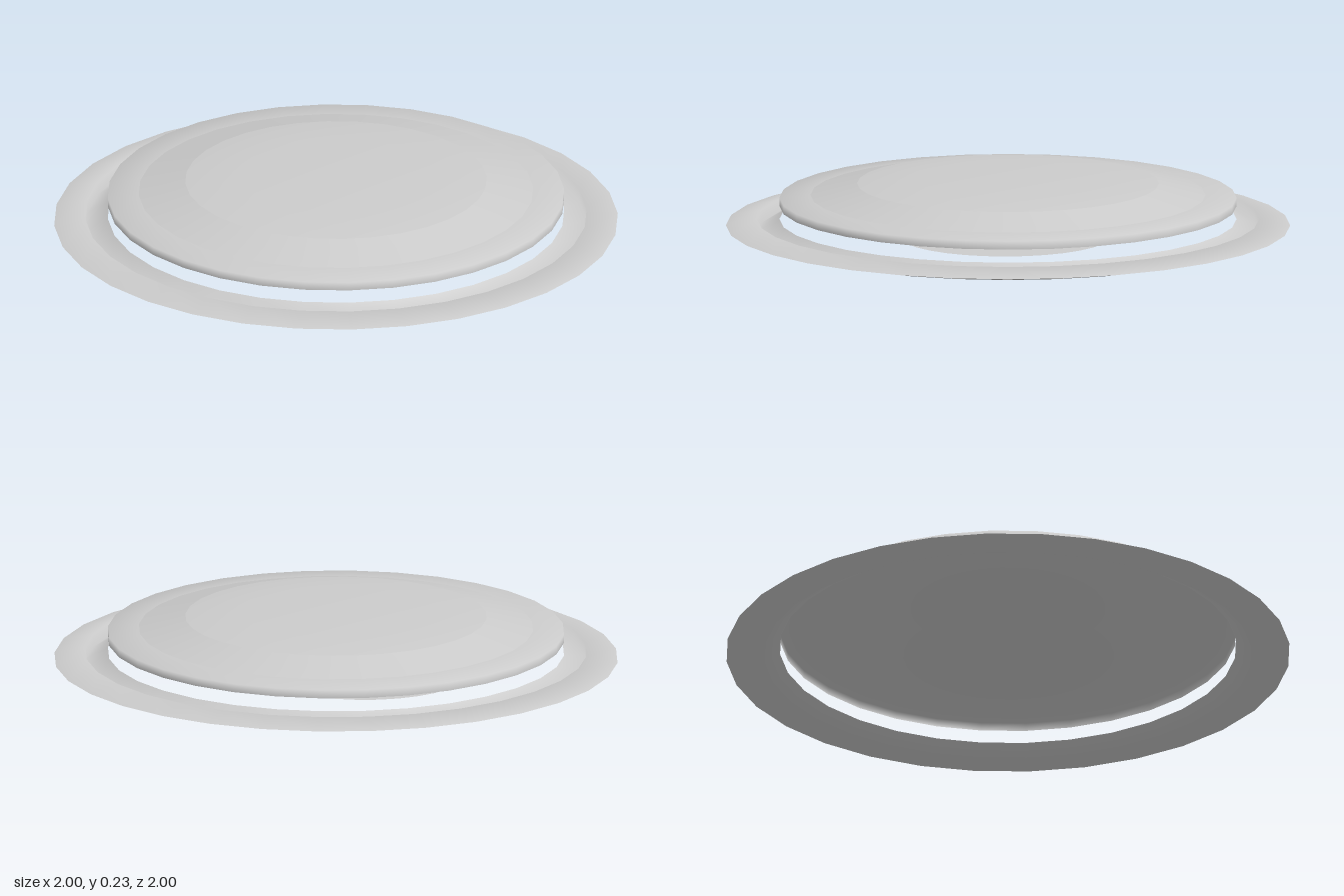
import * as THREE from 'three';

const SEGMENTS = 32;

export function createModel() {
  const group = new THREE.Group();
  const material = new THREE.MeshStandardMaterial({ color: 0xcccccc, side: THREE.DoubleSide });

  // Revolve a [radius, height] profile, listed from the outer edge inward
  const addLathe = (name, profile) => {
    const points = profile.map(([r, y]) => new THREE.Vector2(r, y));
    const mesh = new THREE.Mesh(new THREE.LatheGeometry(points, SEGMENTS), material);
    mesh.name = name;
    group.add(mesh);
  };

  // Lower ring: sloping flange, grooved channel, raised inner lip
  addLathe('lowerRing', [[1, 0.06], [0.89, 0.083], [0.89, 0.036], [0.81, 0.083]]);

  // Lid: open shell of three panels with creases between them
  addLathe('lidRim', [[0.81, 0.13], [0.81, 0.16], [0.7, 0.17]]);
  addLathe('lidShoulder', [[0.7, 0.17], [0.535, 0.212]]);
  addLathe('lidTop', [[0.535, 0.212], [0.34, 0.232], [0, 0.232]]);

  // Flat base disc, slightly off centre, facing down
  const base = new THREE.Mesh(new THREE.CircleGeometry(0.375, SEGMENTS), material);
  base.name = 'baseDisc';
  base.rotation.x = Math.PI / 2;
  base.position.set(-0.105, 0, -0.01);
  group.add(base);

  return group;
}
